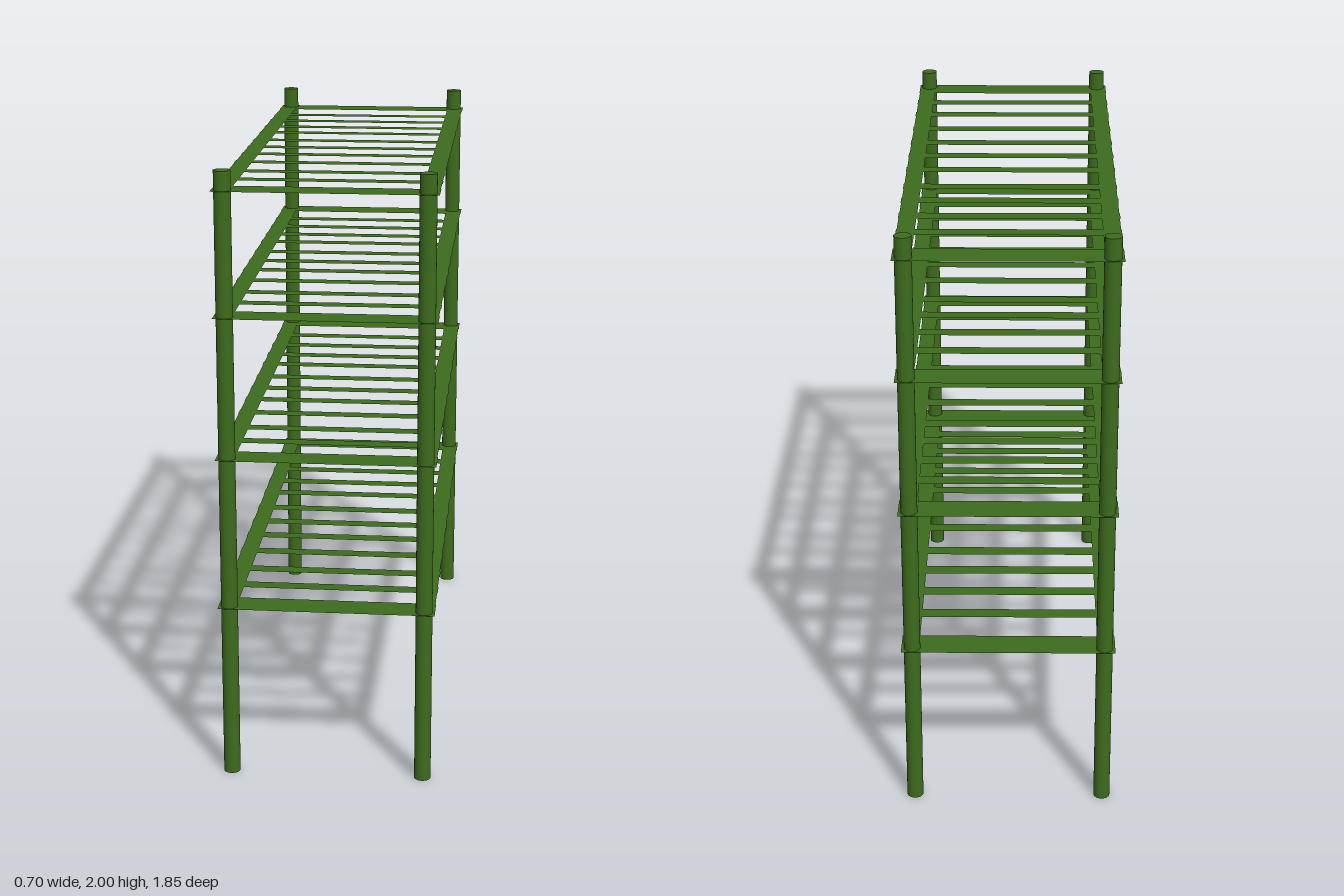
import * as THREE from 'three';

export function createModel() {
  const model = new THREE.Group();
  const material = new THREE.MeshStandardMaterial({ color: 0x3d6b1d });
  const sheet = new THREE.MeshStandardMaterial({ color: 0x3d6b1d, side: THREE.DoubleSide });

  // Four round corner posts
  const postGeometry = new THREE.CylinderGeometry(0.027, 0.027, 2, 24);
  for (const x of [-0.314, 0.314]) {
    for (const z of [-0.895, 0.895]) {
      const post = new THREE.Mesh(postGeometry, material);
      post.name = 'post';
      post.position.set(x, 1, z);
      model.add(post);
    }
  }

  // A thin flat strip lying in the plane of a shelf
  const strip = (name, width, depth, x, z) => {
    const mesh = new THREE.Mesh(new THREE.PlaneGeometry(width, depth).rotateX(-Math.PI / 2), sheet);
    mesh.name = name;
    mesh.position.set(x, 0, z);
    return mesh;
  };

  // Open slatted shelves, tilted very slightly towards the back
  const slatCentres = [-0.675, -0.527, -0.382, -0.246, -0.074, 0.076, 0.221, 0.381, 0.553, 0.702];
  for (const y of [0.577, 1.077, 1.537, 1.934]) {
    const shelf = new THREE.Group();
    shelf.name = 'shelf';
    for (const side of [-1, 1]) {
      shelf.add(strip('sideRail', 0.056, 1.85, side * 0.319, 0));
      shelf.add(strip('endSlat', 0.698, 0.106, 0, side * 0.873));
    }
    for (const z of slatCentres) shelf.add(strip('slat', 0.698, 0.052, 0, z));
    shelf.position.y = y;
    shelf.rotation.x = -0.0045;
    model.add(shelf);
  }

  return model;
}
